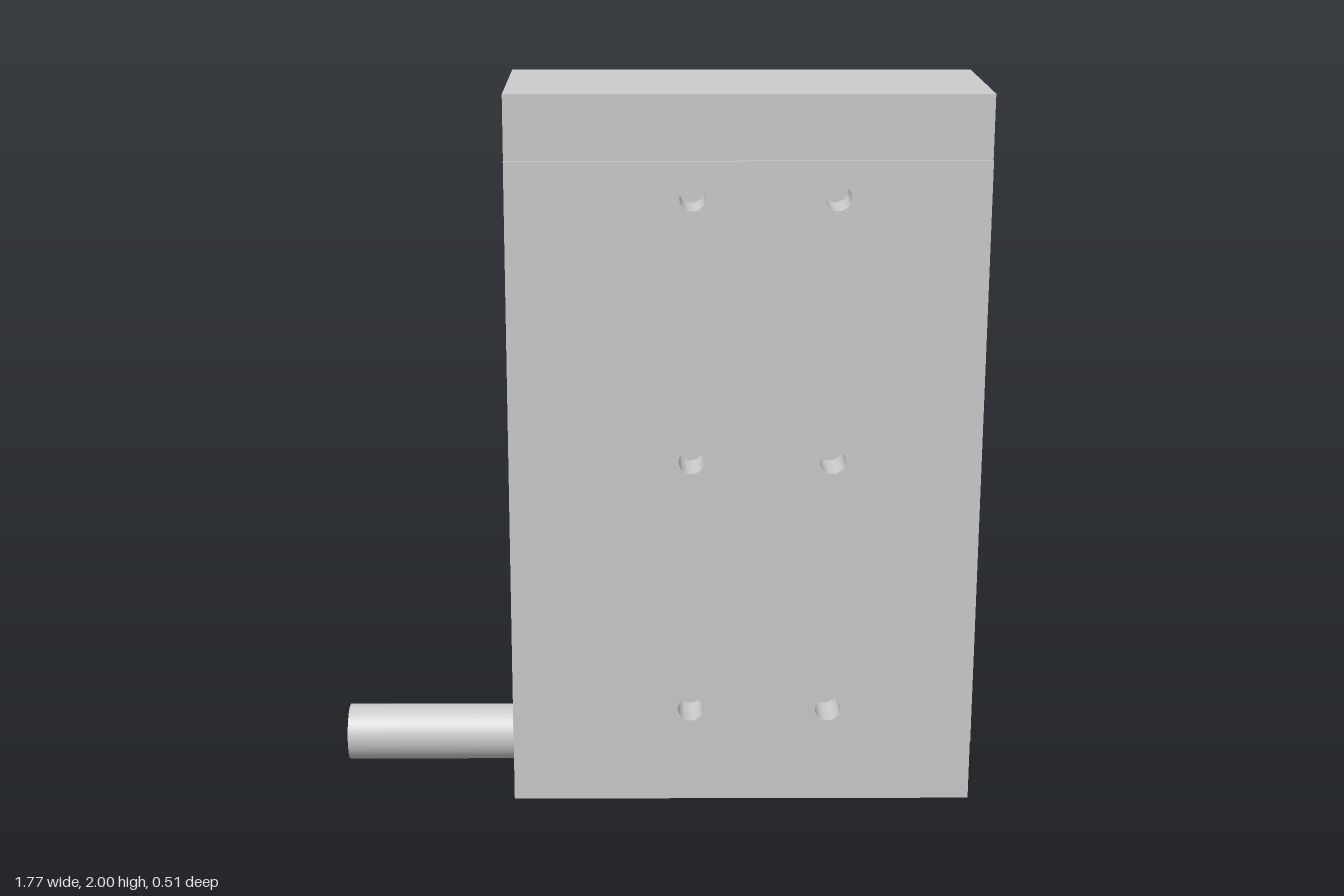
import * as THREE from 'three';
import { toCreasedNormals } from 'three/addons/utils/BufferGeometryUtils.js';

const LEFT = 0.885, RIGHT = -0.403, HEIGHT = 2;
const BACK = -0.253, HOLE_FLOOR = 0.125, FACE = 0.245, PAD = 0.253;
const HOLE_RADIUS = 0.035;

export function createModel() {
  const group = new THREE.Group();
  const material = new THREE.MeshStandardMaterial({ color: 0xcccccc });

  const add = (name, geometry, x, y, z) => {
    const mesh = new THREE.Mesh(geometry, material);
    mesh.name = name;
    mesh.position.set(x, y, z);
    group.add(mesh);
    return mesh;
  };

  // Full-width plate between two heights, pierced by the mounting holes
  const drilledPlate = (y0, y1, depth) => {
    const shape = new THREE.Shape();
    shape.moveTo(RIGHT, y0).lineTo(LEFT, y0).lineTo(LEFT, y1).lineTo(RIGHT, y1).closePath();
    for (const x of [0.095, 0.48]) {
      for (const y of [0.277, 1.002, 1.727]) {
        shape.holes.push(new THREE.Path().absarc(x, y, HOLE_RADIUS, 0, Math.PI * 2, true));
      }
    }
    const geometry = new THREE.ExtrudeGeometry(shape, { depth, bevelEnabled: false, curveSegments: 16 });
    return toCreasedNormals(geometry, Math.PI / 5);
  };

  // Solid housing, whose front closes the blind holes
  const width = LEFT - RIGHT, depth = HOLE_FLOOR - BACK;
  add('housing', new THREE.BoxGeometry(width, HEIGHT, depth),
    (LEFT + RIGHT) / 2, HEIGHT / 2, (BACK + HOLE_FLOOR) / 2);

  // Drilled front of the housing and the slightly raised mounting pad
  add('housingFront', drilledPlate(0, HEIGHT, FACE - HOLE_FLOOR), 0, 0, HOLE_FLOOR);
  add('mountingPad', drilledPlate(0.178, 1.825, PAD - FACE), 0, 0, FACE);

  // Round cable stub leaving the lower right side
  const cableLength = RIGHT + 0.885;
  const cable = add('cable', new THREE.CylinderGeometry(0.079, 0.079, cableLength, 48),
    RIGHT - cableLength / 2, 0.131, 0.066);
  cable.rotation.z = Math.PI / 2;

  return group;
}
